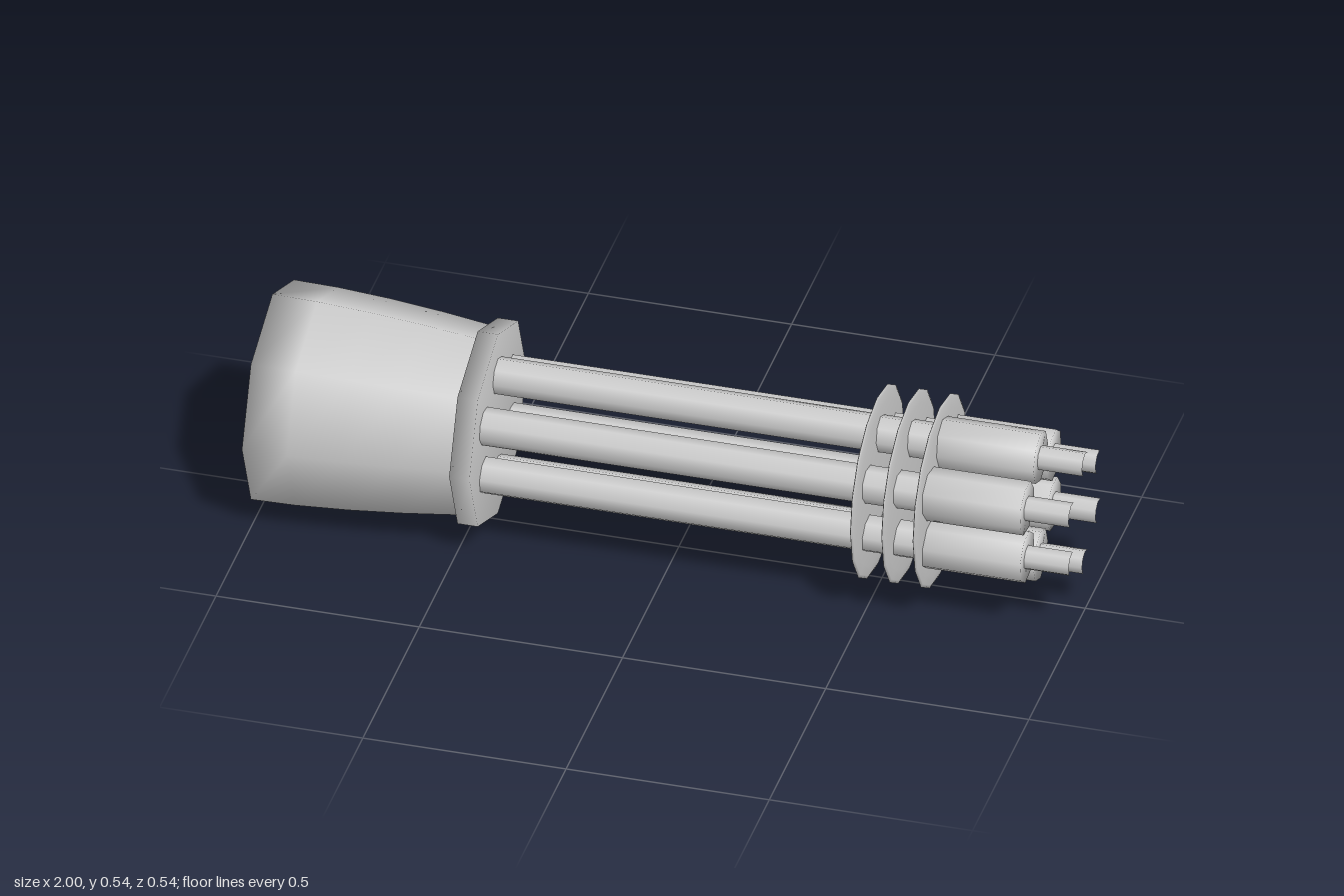
import * as THREE from 'three';

const material = new THREE.MeshStandardMaterial({ color: 0xcccccc });

// Turned part along the x axis from [x, radius] points, smooth shaded
function turned(name, profile, sides) {
  const points = profile.map(([x, r]) => new THREE.Vector2(r, x));
  const geometry = new THREE.LatheGeometry(points, sides);
  geometry.rotateZ(-Math.PI / 2);
  const mesh = new THREE.Mesh(geometry, material);
  mesh.name = name;
  return mesh;
}

export function createModel() {
  const model = new THREE.Group();
  model.name = 'rotaryGun';
  const body = new THREE.Group();
  body.name = 'body';
  body.position.y = 0.271;
  model.add(body);

  // Octagonal motor housing, tapering towards the barrels
  body.add(turned('housing', [
    [-1, 0], [-1, 0.27], [-0.89, 0.268], [-0.76, 0.26], [-0.63, 0.248], [-0.48, 0.23],
  ], 8));

  // Collar plate
  body.add(turned('collar', [
    [-0.495, 0], [-0.495, 0.253], [-0.445, 0.253], [-0.445, 0],
  ], 8));

  // Three lens-shaped clamp discs
  for (const x of [0.488, 0.565, 0.642]) {
    const geometry = new THREE.SphereGeometry(0.237, 16, 12);
    geometry.rotateZ(-Math.PI / 2);
    geometry.scale(0.013 / 0.237, 1, 1);
    const disc = new THREE.Mesh(geometry, material);
    disc.name = 'clampDisc';
    disc.position.x = x;
    body.add(disc);
  }

  // Six barrels, each with a thick sleeve and an open muzzle
  for (let i = 0; i < 6; i++) {
    const barrel = new THREE.Group();
    barrel.name = 'barrel';
    barrel.add(
      turned('barrelTube', [[-0.46, 0.046], [0.66, 0.046]], 8),
      turned('barrelSleeve', [[0.64, 0], [0.64, 0.065], [0.89, 0.065], [0.89, 0]], 8),
      turned('muzzle', [[0.88, 0.03], [1, 0.03]], 8),
    );
    for (const part of barrel.children) part.position.y = 0.138;
    barrel.rotation.x = (i * Math.PI) / 3;
    body.add(barrel);
  }

  return model;
}
